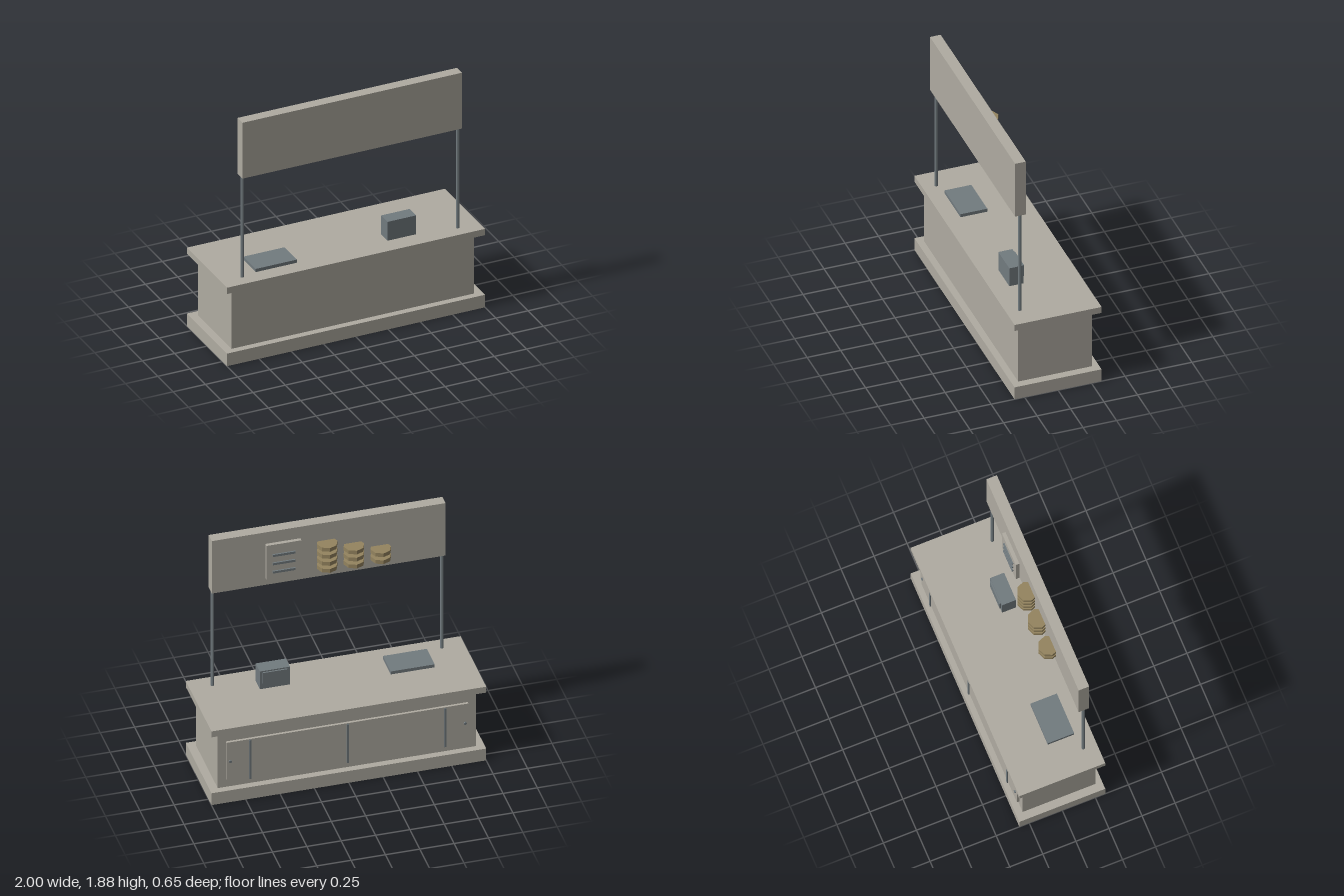
import * as THREE from 'three';

export function createModel() {
  const model = new THREE.Group();
  const paint = (name, color) => {
    const m = new THREE.MeshStandardMaterial({ color, flatShading: true });
    m.name = name;
    return m;
  };
  const stone = paint('warm grey', 0xafaba1);
  const steel = paint('steel grey', 0x727b7f);
  const bronze = paint('tan', 0x94845f);

  const add = (name, geometry, material, x, y, z) => {
    const mesh = new THREE.Mesh(geometry, material);
    mesh.name = name;
    mesh.position.set(x, y, z);
    model.add(mesh);
    return mesh;
  };
  // Box given by its minimum and maximum on each axis
  const box = (name, material, [x0, x1], [y0, y1], [z0, z1]) =>
    add(name, new THREE.BoxGeometry(x1 - x0, y1 - y0, z1 - z0), material,
      (x0 + x1) / 2, (y0 + y1) / 2, (z0 + z1) / 2);

  // Counter
  box('plinth', stone, [-1, 1], [0, 0.1], [-0.325, 0.325]);
  box('counterBody', stone, [-0.94, 0.94], [0.1, 0.575], [-0.275, 0.275]);
  box('counterTop', stone, [-1, 1], [0.575, 0.625], [-0.325, 0.325]);

  // Cabinet door panel on the back with upright rails and knobs
  box('doorPanel', stone, [-0.88, 0.88], [0.165, 0.485], [-0.294, -0.27]);
  for (const x of [-0.71, 0, 0.71]) {
    box('doorRail', steel, [x - 0.007, x + 0.007], [0.152, 0.48], [-0.302, -0.285]);
  }
  for (const side of [-1, 1]) {
    const knob = add('doorKnob', new THREE.CylinderGeometry(0.011, 0.011, 0.014, 8),
      steel, side * 0.855, 0.325, -0.297);
    knob.rotation.x = Math.PI / 2;
    // Post carrying the sign
    add('signPost', new THREE.CylinderGeometry(0.013, 0.013, 0.83, 8),
      steel, side * 0.835, 1.03, 0.225);
  }

  // Sign board
  box('signBoard', stone, [-0.85, 0.85], [1.43, 1.875], [0.185, 0.265]);

  // Notice on the back of the sign, with three raised lines
  box('notice', stone, [0.21, 0.465], [1.5, 1.787], [0.145, 0.172]);
  for (const y of [1.56, 1.63, 1.7]) {
    box('noticeLine', steel, [0.255, 0.42], [y - 0.009, y + 0.009], [0.134, 0.15]);
  }

  // Three stacks of discs, half sunk into the sign
  const disc = new THREE.CylinderGeometry(0.075, 0.075, 0.031, 8);
  [4, 3, 2].forEach((count, stack) => {
    for (let i = 0; i < count; i++) {
      add('disc', disc, bronze, 0.02 - stack * 0.195, 1.533 + i * 0.0595, 0.155);
    }
  });

  // Items on the counter
  box('tray', steel, [-0.72, -0.4], [0.625, 0.65], [0.005, 0.205]);
  box('till', steel, [0.31, 0.53], [0.625, 0.775], [0.083, 0.188]);
  box('tillScreen', steel, [0.33, 0.51], [0.67, 0.765], [0.072, 0.09]);

  return model;
}
